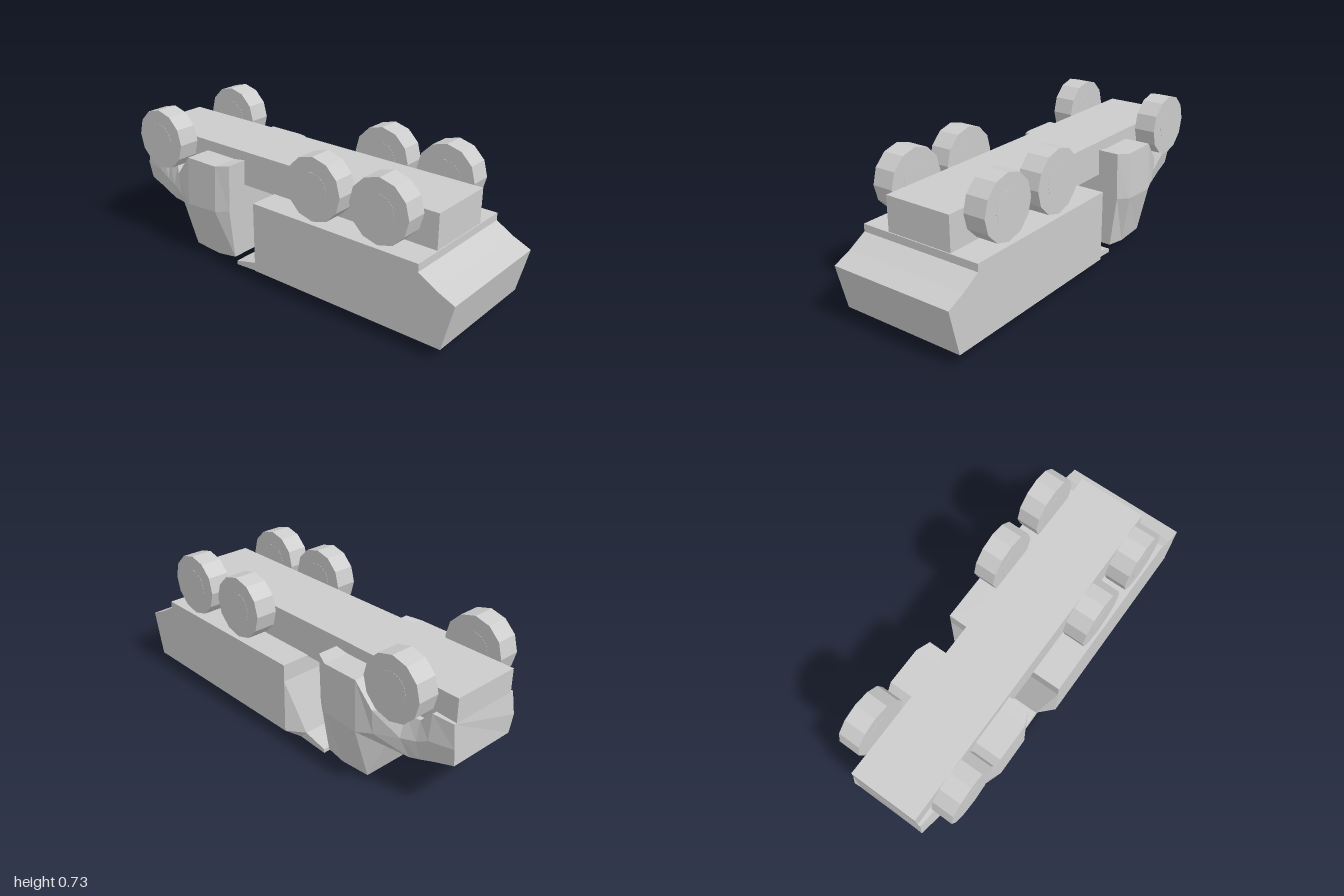
import * as THREE from 'three';
import { ConvexGeometry } from 'three/addons/geometries/ConvexGeometry.js';

const grey = new THREE.MeshStandardMaterial({ color: 0xcccccc, flatShading: true });

export function createModel() {
  const model = new THREE.Group();

  const add = (name, geometry, parent = model) => {
    const mesh = new THREE.Mesh(geometry, grey);
    mesh.name = name;
    parent.add(mesh);
    return mesh;
  };

  // Box from its minimum and maximum corners
  const box = (name, a, b, parent) =>
    add(name, new THREE.BoxGeometry(b[0] - a[0], b[1] - a[1], b[2] - a[2]), parent)
      .position.set((a[0] + b[0]) / 2, (a[1] + b[1]) / 2, (a[2] + b[2]) / 2);

  // Side profile of [z, y] points extruded across x
  const slab = (name, profile, width, x, parent) => {
    const shape = new THREE.Shape(profile.map(([z, y]) => new THREE.Vector2(z, y)));
    const g = new THREE.ExtrudeGeometry(shape, { depth: width, bevelEnabled: false });
    add(name, g.rotateY(-Math.PI / 2).translate(x + width / 2, 0, 0), parent);
  };

  // Convex solid from points mirrored across x
  const hull = (name, points, parent) =>
    add(name, new ConvexGeometry(points.flatMap(([x, y, z]) =>
      [new THREE.Vector3(x, y, z), new THREE.Vector3(-x, y, z)])), parent);

  // Chassis: the truck lies on its roof, so this is uppermost
  box('chassis', [-0.175, 0.41, -0.985], [0.175, 0.585, 0.815]);

  // Wheels with hub discs
  for (const z of [0.605, 0.25, -0.75]) {
    for (const side of [-1, 1]) {
      const wheel = new THREE.Group();
      wheel.name = 'wheel';
      wheel.position.set(side * 0.255, 0.578, z);
      model.add(wheel);
      add('tyre', new THREE.CylinderGeometry(0.153, 0.153, 0.11, 12).rotateZ(Math.PI / 2), wheel);
      add('hub', new THREE.CylinderGeometry(0.08, 0.08, 0.112, 12).rotateZ(Math.PI / 2), wheel);
    }
  }

  // Tipper body: thick deck with walls around the load space
  const body = new THREE.Group();
  body.name = 'tipperBody';
  model.add(body);
  slab('bodyDeck', [[-0.1, 0.415], [-0.1, 0.19], [0.977, 0.19], [1, 0.285],
    [0.91, 0.325], [0.82, 0.378], [0.82, 0.415]], 0.644, 0, body);
  slab('tailWall', [[0.91, 0.19], [0.91, 0.06], [0.945, 0.06], [0.977, 0.19]], 0.644, 0, body);
  for (const side of [-1, 1]) {
    slab('sideWall', [[-0.1, 0.19], [-0.1, 0.06], [0.945, 0.06], [0.977, 0.19]], 0.03, side * 0.307, body);
  }
  box('headWall', [-0.322, 0.06, -0.1], [0.322, 0.19, -0.06], body);

  // Sloped head board and the lip over the cab
  hull('headBoard', [[0.322, 0.33, -0.1], [0.322, 0.06, -0.1],
    [0.25, 0.05, -0.17], [0.25, 0.01, -0.13]], body);
  hull('cabShield', [[0.25, 0.05, -0.17], [0.25, 0.01, -0.13],
    [0.25, 0.02, -0.295], [0.25, 0, -0.295]], body);

  add('cab', cabGeometry());
  return model;
}

// Cab and bonnet lofted through six-sided sections:
// [z, half width, y] for the sill, the waist and the roof
function cabGeometry() {
  const sections = [
    [[-0.293, 0.28, 0.54], [-0.305, 0.28, 0.3], [-0.318, 0.24, 0.03]],
    [[-0.36, 0.31, 0.53], [-0.37, 0.315, 0.29], [-0.42, 0.25, 0.02]],
    [[-0.55, 0.31, 0.53], [-0.56, 0.315, 0.28], [-0.58, 0.25, 0.03]],
    [[-0.64, 0.3, 0.42], [-0.64, 0.29, 0.3], [-0.65, 0.22, 0.21]],
    [[-0.75, 0.21, 0.415], [-0.75, 0.24, 0.31], [-0.78, 0.21, 0.215]],
    [[-0.82, 0.2, 0.415], [-0.82, 0.22, 0.32], [-0.83, 0.2, 0.225]],
    [[-0.88, 0.2, 0.475], [-0.88, 0.215, 0.35], [-0.9, 0.19, 0.245]],
    [[-0.985, 0.19, 0.47], [-1, 0.195, 0.36], [-0.995, 0.18, 0.27]],
  ];
  const rings = sections.map(([t, m, b]) =>
    [[t, 1], [t, -1], [m, -1], [b, -1], [b, 1], [m, 1]].map(([[z, w, y], s]) => [s * w, y, z]));
  const positions = [];
  const tri = (...corners) => corners.forEach((c) => positions.push(...c));

  for (let i = 0; i < rings.length - 1; i++) {
    for (let j = 0; j < 6; j++) {
      const k = (j + 1) % 6;
      const [a, b, c, d] = [rings[i][j], rings[i][k], rings[i + 1][k], rings[i + 1][j]];
      tri(a, d, b);
      tri(b, d, c);
    }
  }
  // End caps
  const first = rings[0], last = rings[rings.length - 1];
  for (let j = 1; j < 5; j++) {
    tri(first[0], first[j], first[j + 1]);
    tri(last[0], last[j + 1], last[j]);
  }
  const g = new THREE.BufferGeometry();
  g.setAttribute('position', new THREE.Float32BufferAttribute(positions, 3));
  g.computeVertexNormals();
  return g;
}
